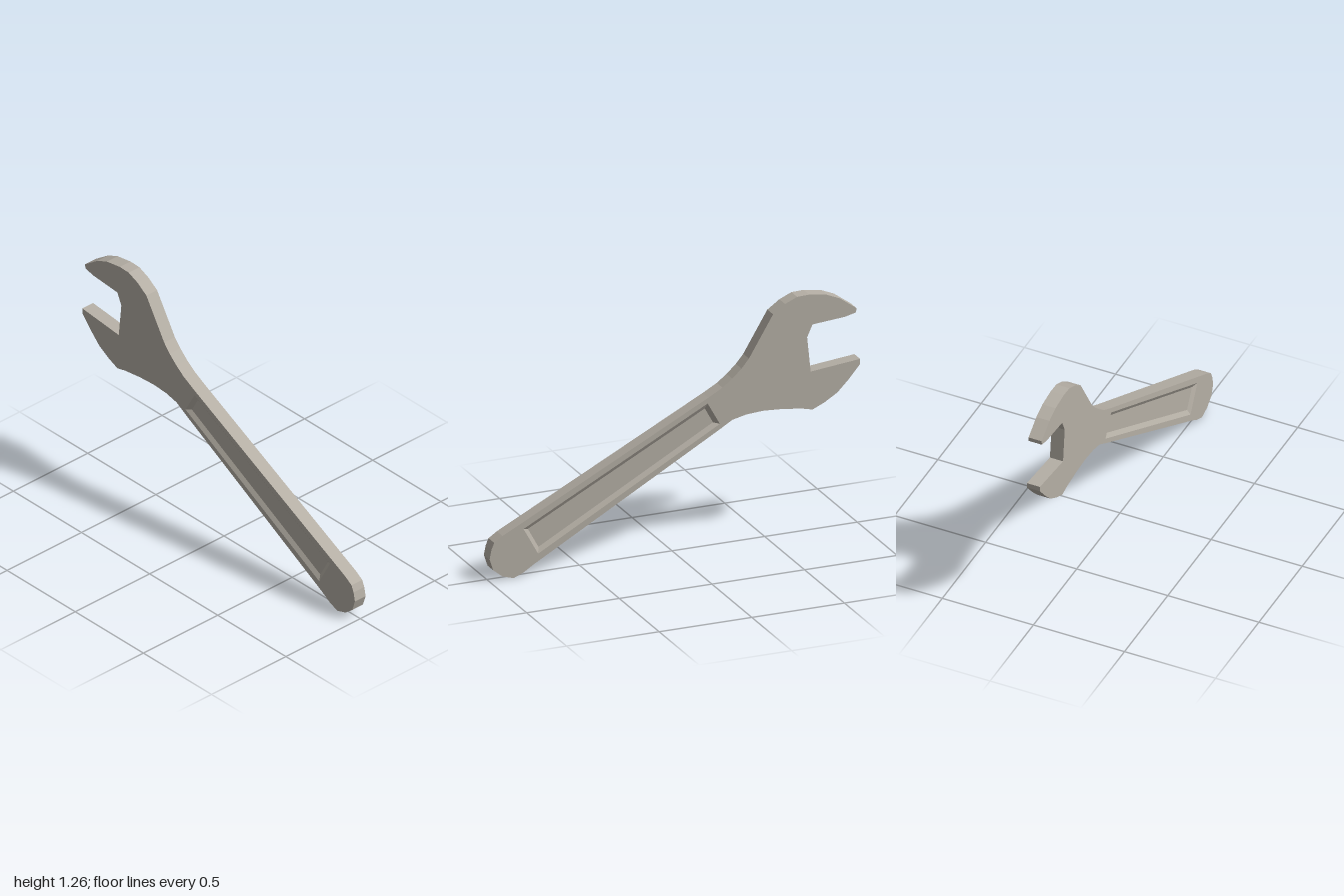
import * as THREE from 'three';

const HALF = 0.036;   // half thickness of the wrench
const FLOOR = 0.021;  // height of the recessed panel

// Outline, clockwise from the tip of the upper jaw
const outline = [
  [-0.98, 1.155], [-0.89, 1.22], [-0.82, 1.25], [-0.725, 1.265], [-0.66, 1.263], [-0.595, 1.235], [-0.53, 1.19],
  [-0.4, 0.975], [-0.36, 0.928], [-0.31, 0.882], [-0.257, 0.842], [-0.18, 0.8],
  [0.93, 0.235], [0.975, 0.205], [0.99, 0.17], [1, 0.12], [0.98, 0.06], [0.93, 0.02], [0.87, 0.002], [0.815, 0.025], [0.76, 0.06],
  [-0.246, 0.625], [-0.31, 0.663], [-0.385, 0.68], [-0.476, 0.686], [-0.577, 0.68], [-0.685, 0.666], [-0.743, 0.652],
  [-0.807, 0.68], [-0.877, 0.722], [-0.94, 0.785], [-1, 0.855],
  [-1, 0.882], [-0.733, 0.855], [-0.714, 1.04], [-0.743, 1.104], [-0.92, 1.118], [-0.978, 1.132],
].map(([x, y]) => new THREE.Vector2(x, y)).reverse();

// Handle panel: rim and smaller floor, counter-clockwise
const rim = [[-0.243, 0.652], [0.738, 0.112], [0.817, 0.255], [-0.177, 0.77]].map(([x, y]) => new THREE.Vector2(x, y));
const panel = [[-0.212, 0.66], [0.73, 0.142], [0.787, 0.246], [-0.168, 0.74]].map(([x, y]) => new THREE.Vector2(x, y));

// Flat-shaded band of quads between two counter-clockwise loops, facing out when zA < zB
function band(a, zA, b, zB) {
  const pos = [];
  a.forEach((p, i) => {
    const j = (i + 1) % a.length;
    const p0 = [p.x, p.y, zA], p1 = [a[j].x, a[j].y, zA];
    const q0 = [b[i].x, b[i].y, zB], q1 = [b[j].x, b[j].y, zB];
    pos.push(...p0, ...p1, ...q1, ...p0, ...q1, ...q0);
  });
  const g = new THREE.BufferGeometry();
  g.setAttribute('position', new THREE.Float32BufferAttribute(pos, 3));
  g.computeVertexNormals();
  return g;
}

// Flat face at height z, with an optional hole
function cap(loop, z, hole) {
  const shape = new THREE.Shape(loop);
  if (hole) shape.holes.push(new THREE.Path(hole));
  return new THREE.ShapeGeometry(shape).translate(0, 0, z).toNonIndexed();
}

// Mirrored copy for the back, with corner order corrected
function mirrorZ(geometry) {
  const g = geometry.clone().scale(1, 1, -1);
  const p = g.attributes.position;
  const a = new THREE.Vector3(), b = new THREE.Vector3();
  for (let i = 0; i < p.count; i += 3) {
    a.fromBufferAttribute(p, i + 1);
    b.fromBufferAttribute(p, i + 2);
    p.setXYZ(i + 1, b.x, b.y, b.z);
    p.setXYZ(i + 2, a.x, a.y, a.z);
  }
  g.computeVertexNormals();
  return g;
}

export function createModel() {
  const steel = new THREE.MeshStandardMaterial({ color: 0xb5afa5 });
  steel.name = 'steel';
  const wrench = new THREE.Group();
  wrench.name = 'wrench';
  const add = (name, geometry) => {
    const mesh = new THREE.Mesh(geometry, steel);
    mesh.name = name;
    wrench.add(mesh);
  };

  // Edge running all round the jaws and handle
  add('edge', band(outline, -HALF, outline, HALF));

  // Both faces, each with a bevelled recess in the handle
  const sides = {
    Face: cap(outline, HALF, rim),
    RecessBevel: band(rim, HALF, panel, FLOOR),
    RecessFloor: cap(panel, FLOOR),
  };
  for (const [part, geometry] of Object.entries(sides)) {
    add('front' + part, geometry);
    add('back' + part, mirrorZ(geometry));
  }
  return wrench;
}
